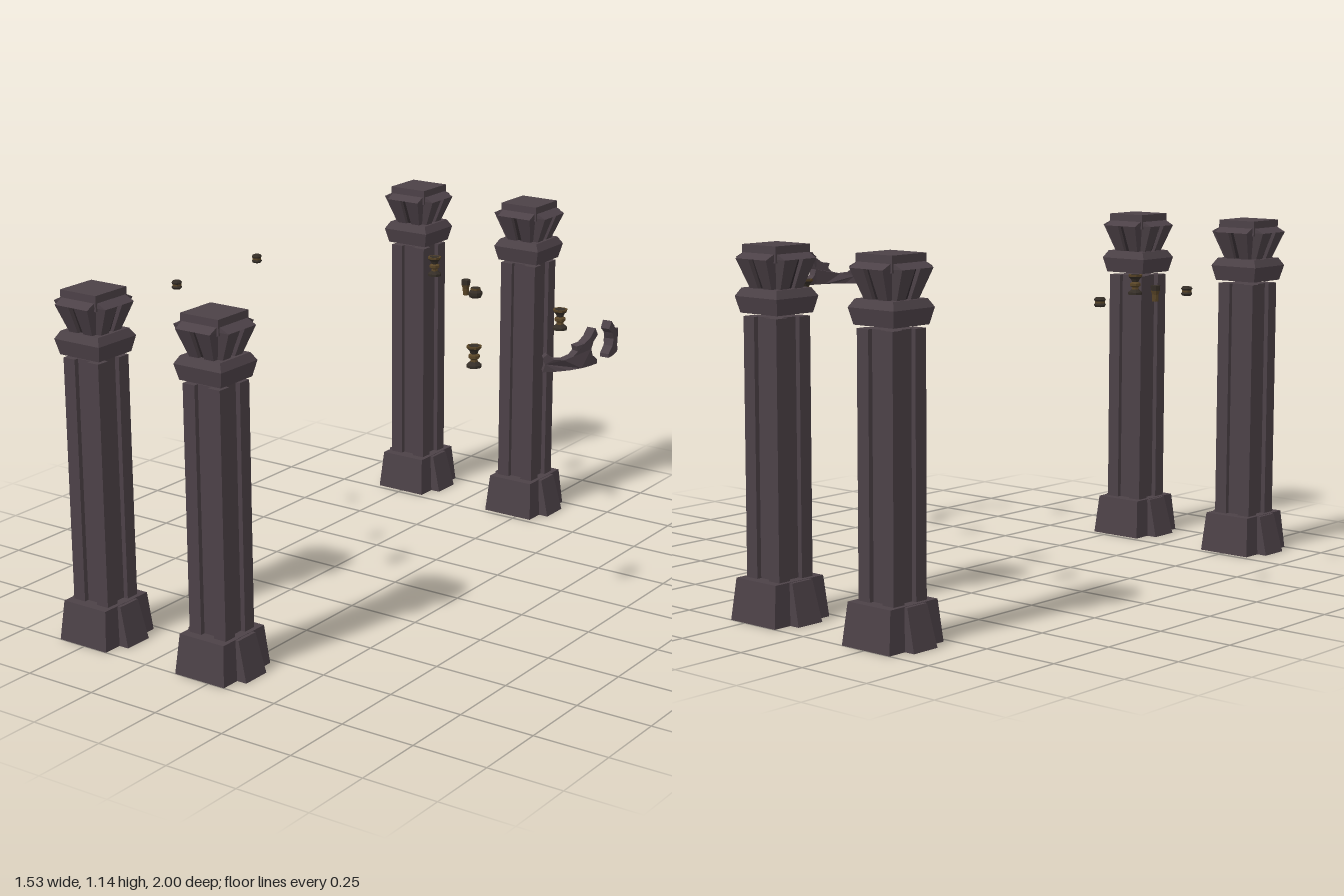
import * as THREE from 'three';

const mat = (name, color) => Object.assign(new THREE.MeshStandardMaterial({ color, flatShading: true }), { name });
const stone = mat('stone', 0x4c4147);
const recess = mat('recessed stone', 0x2e272b);
const bronze = mat('bronze', 0x594527);
const iron = mat('dark iron', 0x352e27);

function add(parent, name, geo, material) {
  const mesh = new THREE.Mesh(geo, material);
  mesh.name = name;
  parent.add(mesh);
  return mesh;
}

// Block whose bottom and top are different rectangles [x0, x1, z0, z1]
function block(bottom, top, y0, y1) {
  const g = new THREE.BoxGeometry(1, 1, 1);
  const p = g.attributes.position;
  for (let i = 0; i < p.count; i++) {
    const up = p.getY(i) > 0;
    const r = up ? top : bottom;
    p.setXYZ(i, p.getX(i) > 0 ? r[1] : r[0], up ? y1 : y0, p.getZ(i) > 0 ? r[3] : r[2]);
  }
  g.computeVertexNormals();
  return g;
}
const rect = (w, d) => [-w, w, -d, d];

function createPillar() {
  const g = new THREE.Group();
  g.name = 'pillar';
  // Cross-shaped sloping base
  add(g, 'base', block(rect(0.095, 0.115), rect(0.085, 0.1), 0, 0.13), stone);
  add(g, 'baseSideButtress', block(rect(0.13, 0.05), rect(0.097, 0.042), 0, 0.129), stone);
  // Shaft with a groove down each side
  add(g, 'shaftCore', block(rect(0.054, 0.054), rect(0.054, 0.054), 0.12, 0.925), stone);
  for (const sx of [-1, 1]) for (const sz of [-1, 1]) {
    const corner = new THREE.BoxGeometry(0.045, 0.8, 0.045);
    add(g, 'shaftCorner', corner, stone).position.set(sx * 0.0475, 0.525, sz * 0.0475);
  }
  // Collar
  add(g, 'collar', block(rect(0.078, 0.075), rect(0.09, 0.086), 0.935, 0.985), stone);
  add(g, 'collarBevel', block(rect(0.09, 0.086), rect(0.075, 0.072), 0.985, 1.01), stone);
  // Four slotted brackets flaring outward
  for (let i = 0; i < 4; i++) {
    const arm = new THREE.Group();
    arm.name = 'capitalBracket';
    arm.rotation.y = i * Math.PI / 2;
    add(arm, 'bracketLeft', block([0.011, 0.045, 0, 0.063], [0.011, 0.065, 0, 0.104], 1.005, 1.1), stone);
    add(arm, 'bracketRight', block([-0.045, -0.011, 0, 0.063], [-0.065, -0.011, 0, 0.104], 1.005, 1.1), stone);
    add(arm, 'bracketSlot', block([-0.011, 0.011, 0, 0.052], [-0.011, 0.011, 0, 0.088], 1.01, 1.1), recess);
    add(arm, 'bracketTop', block([-0.065, 0.065, 0, 0.104], [-0.065, 0.065, 0, 0.072], 1.1, 1.116), stone);
    g.add(arm);
  }
  add(g, 'capitalTop', block(rect(0.071, 0.071), rect(0.071, 0.071), 1.09, 1.14), stone);
  return g;
}

// Curved ornament: a profile bent round a vertical axis
function createCurvedOrnament() {
  const pts = [
    [0, 0.9], [0, 0.912], [0.025, 0.932], [0.032, 0.953], [0.022, 0.975], [0, 0.992],
    [0.014, 1.015], [0.035, 0.992], [0.06, 0.976], [0.09, 0.972], [0.084, 0.955],
    [0.1, 0.942], [0.13, 0.934], [0.16, 0.938], [0.18, 0.955], [0.192, 0.945],
    [0.185, 0.925], [0.192, 0.9], [0.15, 0.9], [0.11, 0.9], [0.07, 0.9], [0.035, 0.9],
  ];
  const shape = new THREE.Shape(pts.map(([s, y]) => new THREE.Vector2(s, y)));
  const geo = new THREE.ExtrudeGeometry(shape, { depth: 0.03, bevelEnabled: false });
  const p = geo.attributes.position;
  const R = 0.21;
  for (let i = 0; i < p.count; i++) {
    const a = p.getX(i) / R, r = R - 0.015 + p.getZ(i);
    p.setXYZ(i, r * Math.cos(a), p.getY(i), -r * Math.sin(a));
  }
  geo.computeVertexNormals();
  return geo;
}

// Eight-sided turned pieces, one lathe for each coloured band
const turned = (pts) => new THREE.LatheGeometry(pts.map(([r, y]) => new THREE.Vector2(r, y)), 8);
function createTurned(name, bands, x, z) {
  const g = new THREE.Group();
  g.name = name;
  for (const [material, pts] of bands) add(g, name + 'Band', turned(pts), material);
  g.position.set(x, 0, z);
  return g;
}
const goblet = [
  [iron, [[0, 0.892], [0.024, 0.892], [0.024, 0.9], [0.012, 0.91]]],
  [bronze, [[0.012, 0.91], [0.011, 0.917], [0.018, 0.922], [0.018, 0.93], [0.011, 0.935]]],
  [iron, [[0.011, 0.935], [0.015, 0.945], [0.023, 0.953]]],
  [bronze, [[0.023, 0.953], [0.024, 0.96], [0.018, 0.96]]],
  [iron, [[0.018, 0.96], [0, 0.956]]],
];
const knob = [
  [iron, [[0, 0.951], [0.014, 0.951], [0.018, 0.957], [0.015, 0.962]]],
  [bronze, [[0.015, 0.962], [0.015, 0.968]]],
  [iron, [[0.015, 0.968], [0.018, 0.973], [0.014, 0.979], [0, 0.979]]],
];
const cup = [
  [bronze, [[0, 0.892], [0.01, 0.892], [0.011, 0.915], [0.015, 0.928]]],
  [iron, [[0.015, 0.928], [0.016, 0.945], [0.011, 0.945], [0, 0.938]]],
];
const pot = [
  [iron, [[0, 0.892], [0.02, 0.892], [0.024, 0.9], [0.024, 0.91], [0.017, 0.918]]],
  [bronze, [[0.017, 0.918], [0.017, 0.925]]],
  [iron, [[0.017, 0.925], [0, 0.925]]],
];

export function createModel() {
  const model = new THREE.Group();
  model.name = 'pillarsAndOrnaments';
  for (const x of [-0.505, -0.035]) for (const z of [-0.885, 0.885]) {
    const pillar = createPillar();
    pillar.position.set(x, 0, z);
    model.add(pillar);
  }
  // Pair of curved ornaments, mirrored front to back
  const curved = createCurvedOrnament();
  add(model, 'curvedOrnamentBack', curved, stone).position.set(0.535, 0, -0.06);
  const front = add(model, 'curvedOrnamentFront', curved, stone);
  front.scale.z = -1;
  front.position.set(0.535, 0, 0.01);
  // Small floating turned pieces
  for (const [x, z] of [[-0.265, -0.63], [-0.265, 0.57], [0.455, -0.28], [0.455, 0.235]])
    model.add(createTurned('goblet', goblet, x, z));
  for (const z of [-0.24, 0.197]) model.add(createTurned('knob', knob, -0.752, z));
  for (const [x, z] of [[-0.45, 0.437], [-0.032, -0.472]]) model.add(createTurned('cup', cup, x, z));
  model.add(createTurned('pot', pot, 0.012, -0.465));
  return model;
}
